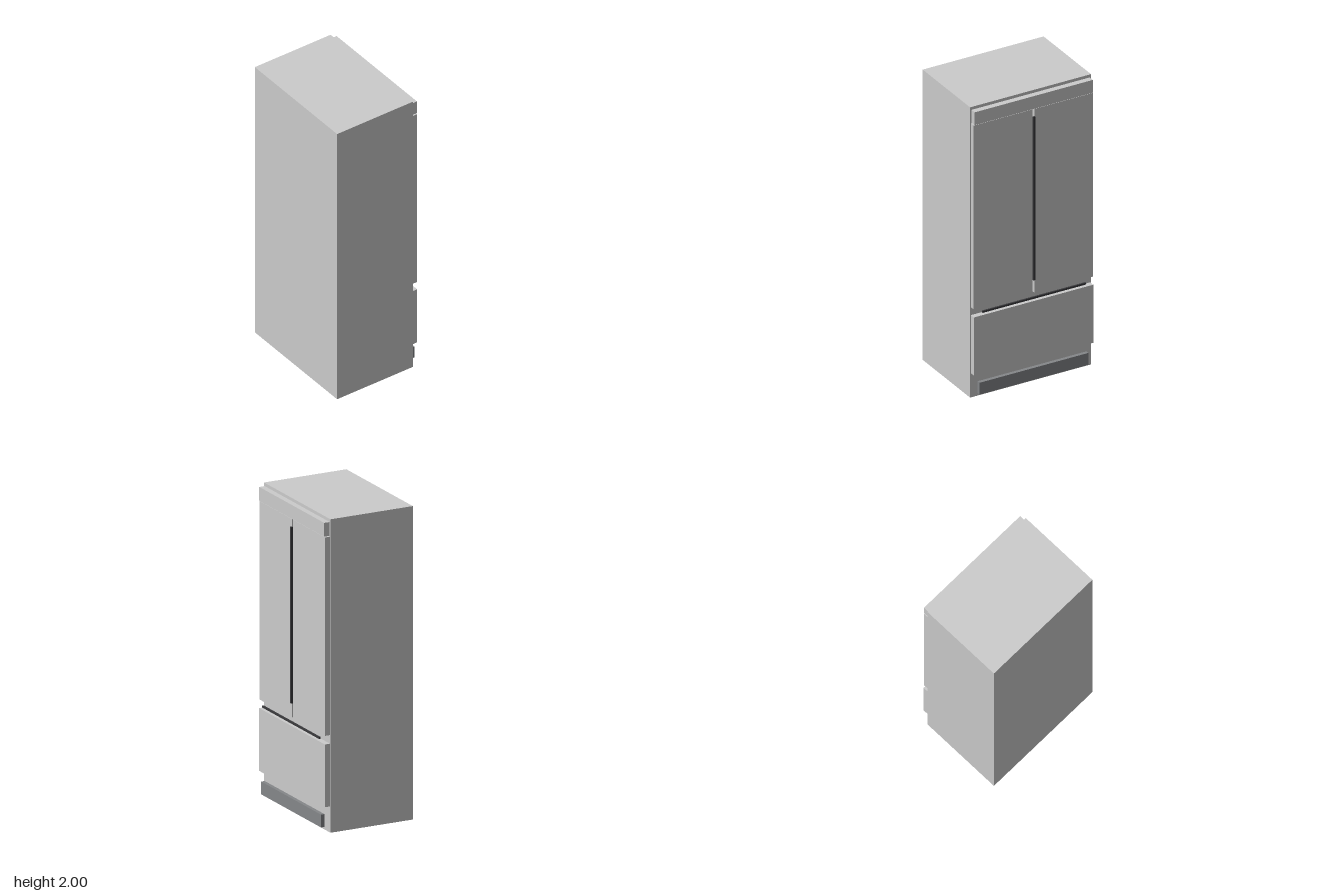
import * as THREE from 'three';

export function createModel() {
  const model = new THREE.Group();
  const grey = new THREE.MeshStandardMaterial({ color: 0xcccccc });
  const grilleGrey = new THREE.MeshStandardMaterial({ color: 0x85878a });
  const dark = new THREE.MeshStandardMaterial({ color: 0x3a3a3d });

  // Box given by its extents: [min, max] on each axis
  function block(name, x, y, z, material = grey) {
    const mesh = new THREE.Mesh(
      new THREE.BoxGeometry(x[1] - x[0], y[1] - y[0], z[1] - z[0]), material);
    mesh.position.set((x[0] + x[1]) / 2, (y[0] + y[1]) / 2, (z[0] + z[1]) / 2);
    mesh.name = name;
    model.add(mesh);
  }

  const face = -0.262; // cabinet face that carries the doors
  block('cabinet', [-0.427, 0.427], [0, 2], [face, 0.308]);

  // Header strip above the doors
  block('topPanel', [-0.417, 0.417], [1.892, 1.98], [-0.3, face]);

  // Pair of upper doors with a narrow gap between them
  block('leftDoor', [0.007, 0.422], [0.622, 1.888], [-0.296, face]);
  block('rightDoor', [-0.422, -0.007], [0.622, 1.888], [-0.296, face]);

  // Freezer drawer
  block('drawer', [-0.422, 0.422], [0.167, 0.567], [-0.298, face]);

  // Slim dark handles
  block('doorHandle', [-0.007, 0.007], [0.715, 1.84], [-0.308, -0.296], dark);
  block('drawerHandle', [-0.365, 0.365], [0.588, 0.6], [-0.308, -0.297], dark);

  // Kick grille standing off the cabinet face
  block('kickGrille', [-0.384, 0.384], [0.028, 0.11], [-0.304, -0.28], grilleGrey);

  return model;
}
